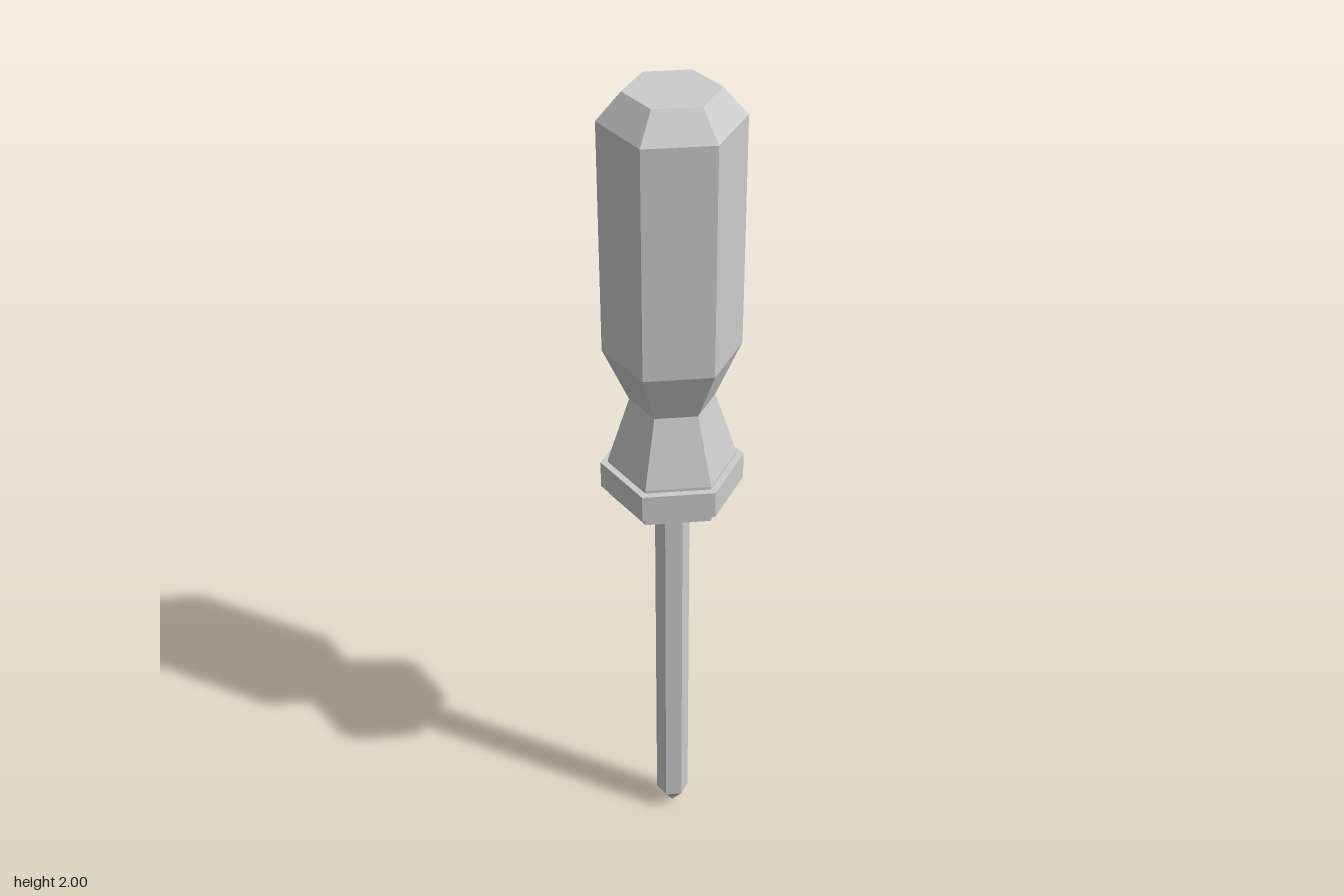
import * as THREE from 'three';

const material = new THREE.MeshStandardMaterial({ color: 0xcccccc, flatShading: true });

// Six-sided turned part from [radius, height] pairs, listed bottom to top
function hexPart(name, profile) {
  const points = profile.map(([r, y]) => new THREE.Vector2(r, y));
  const mesh = new THREE.Mesh(new THREE.LatheGeometry(points, 6), material);
  mesh.name = name;
  return mesh;
}

export function createModel() {
  const model = new THREE.Group();
  model.name = 'screwdriver';

  // Grip with chamfered butt, narrow waist, flared foot and shallow cone underneath
  model.add(hexPart('handle', [
    [0, 1.0], [0.04, 1.0], [0.145, 1.025], [0.145, 1.12], [0.095, 1.28],
    [0.152, 1.41], [0.152, 1.94], [0.1, 2], [0, 2],
  ]));

  // Raised band around the foot of the grip
  model.add(hexPart('collar', [
    [0.14, 1.047], [0.162, 1.047], [0.162, 1.113], [0.14, 1.113],
  ]));

  // Slim hexagonal shaft with a pointed tip
  model.add(hexPart('shaft', [[0, 0], [0.04, 0.055], [0.04, 1.01], [0, 1.01]]));

  return model;
}
